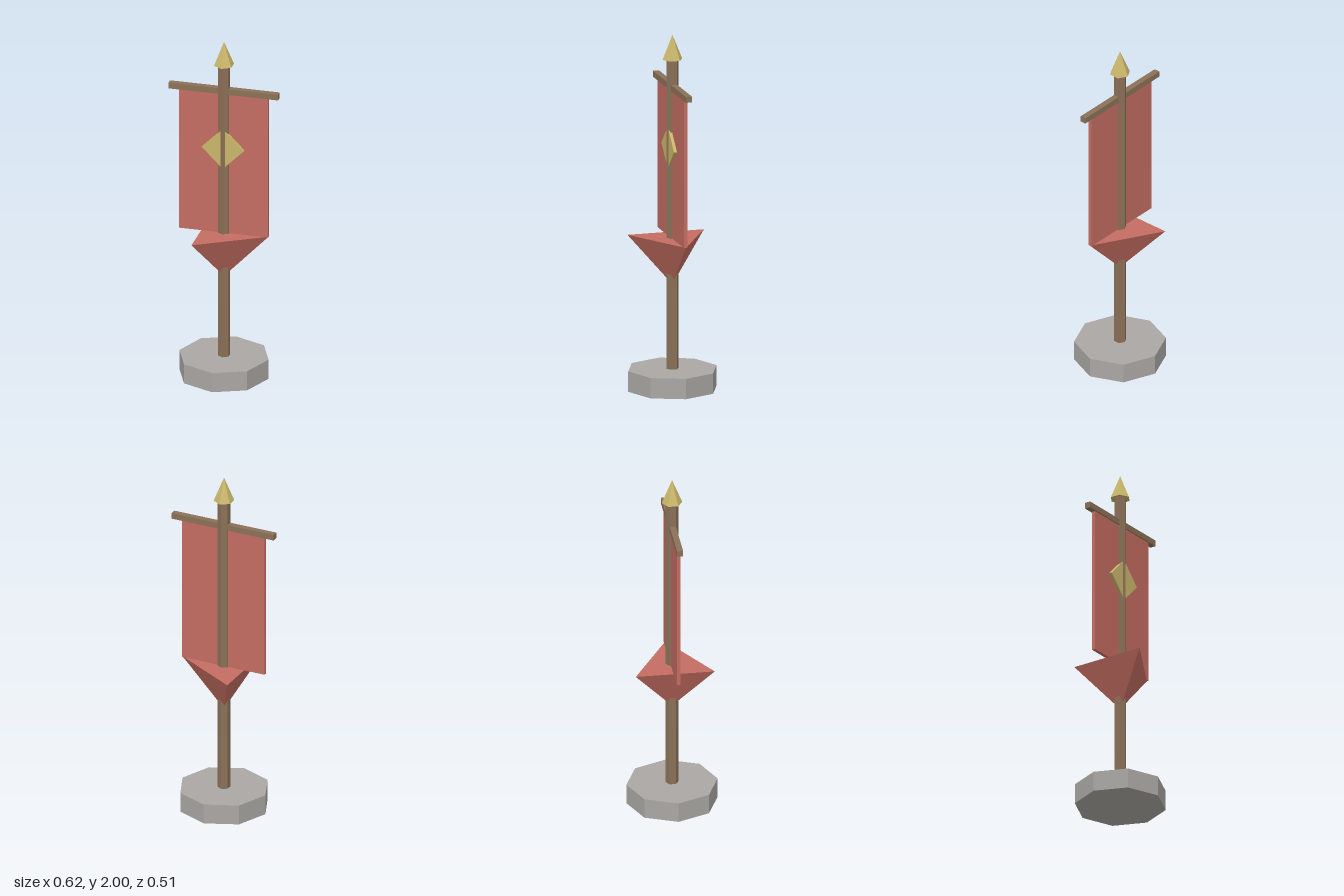
import * as THREE from 'three';

const material = (name, color) => {
  const m = new THREE.MeshStandardMaterial({ color, flatShading: true });
  m.name = name;
  return m;
};

export function createModel() {
  const stone = material('stone', 0xaaa7a3);
  const wood = material('wood', 0x8b7158);
  const cloth = material('red cloth', 0xc46d61);
  const gold = material('gold', 0xcab76b);

  const group = new THREE.Group();
  group.name = 'bannerStand';
  const add = (name, geometry, mat, y, z = 0) => {
    const mesh = new THREE.Mesh(geometry, mat);
    mesh.name = name;
    mesh.position.set(0, y, z);
    group.add(mesh);
    return mesh;
  };
  // Faceted column between two heights
  const column = (name, mat, rTop, rBottom, y0, y1, sides, start = 0) =>
    add(name, new THREE.CylinderGeometry(rTop, rBottom, y1 - y0, sides, 1, false, start), mat, (y0 + y1) / 2);

  // Stand, pole and spear tip
  column('base', stone, 0.253, 0.253, 0, 0.115, 8);
  column('pole', wood, 0.035, 0.035, 0.115, 1.863, 6);
  add('finial', new THREE.ConeGeometry(0.057, 0.139, 6), gold, 1.9305);

  // Crossbar with the hanging cloth
  add('crossbar', new THREE.BoxGeometry(0.622, 0.034, 0.034), wood, 1.707);
  add('banner', new THREE.BoxGeometry(0.506, 0.835, 0.02), cloth, 1.2725);

  // Three-sided point below the cloth, one corner towards +x
  column('bannerTip', cloth, 0.253, 0, 0.59, 0.855, 3, Math.PI / 2);

  // Diamond emblem on the front
  const emblem = add('emblem', new THREE.BoxGeometry(0.169, 0.169, 0.019), gold, 1.365, 0.0175);
  emblem.rotation.z = Math.PI / 4;

  return group;
}
